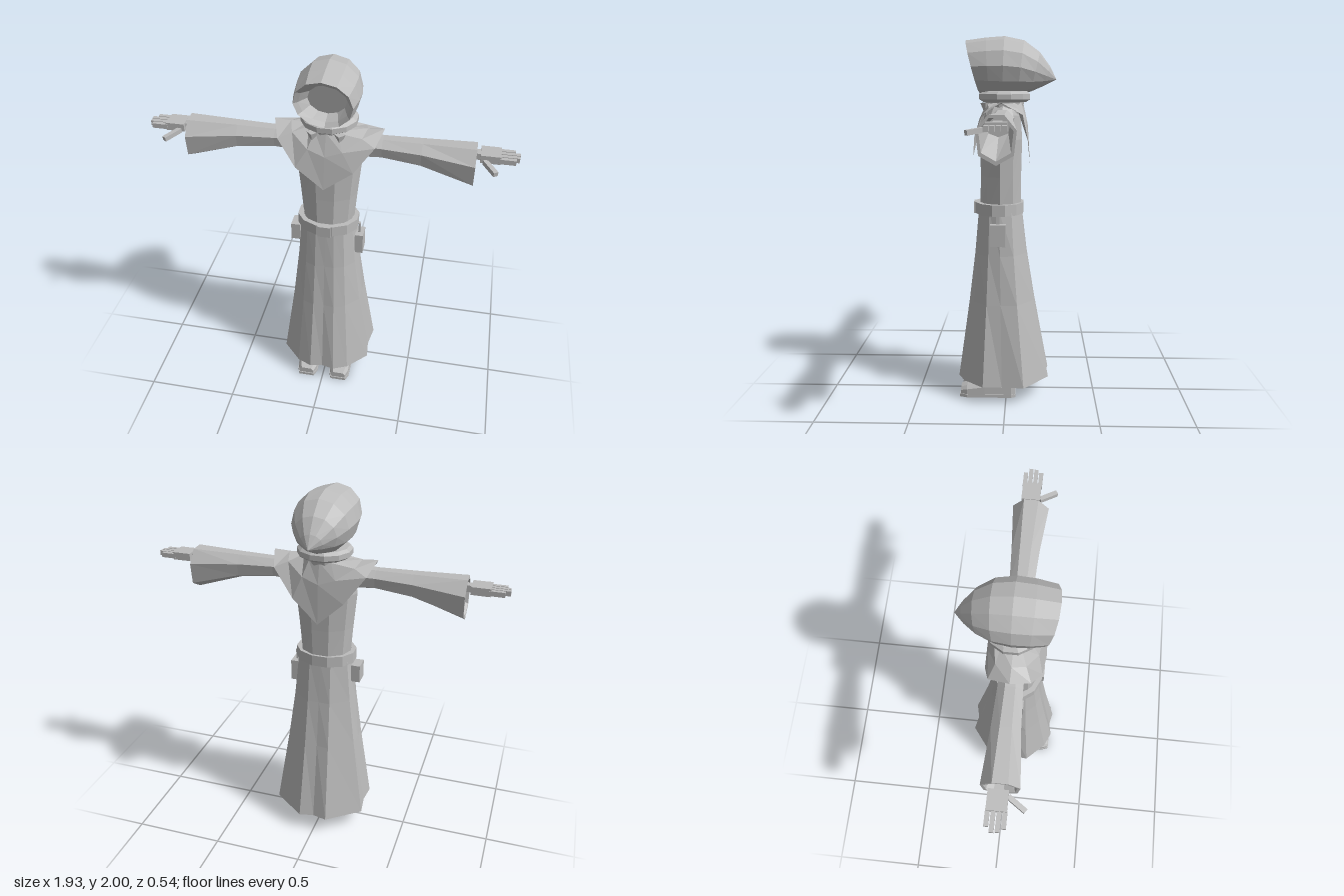
import * as THREE from 'three';

const cloth = new THREE.MeshStandardMaterial({ color: 0xbcbcbc, flatShading: true, side: THREE.DoubleSide });
cloth.name = 'plain grey';

const mix = (a, b, t) => a + (b - a) * t;

// Skin a list of equal-length rings of [x, y, z]; faces are turned outwards.
function loft(rings, capStart = false, capEnd = false) {
  const tris = [];
  const n = rings[0].length;
  for (let i = 0; i + 1 < rings.length; i++) {
    for (let j = 0; j < n; j++) {
      const k = (j + 1) % n;
      const [a, b, c, d] = [rings[i][j], rings[i][k], rings[i + 1][k], rings[i + 1][j]];
      tris.push([a, b, c], [a, c, d]);
    }
  }
  const cap = (ring, flip) => {
    const m = [0, 1, 2].map(q => ring.reduce((s, p) => s + p[q], 0) / n);
    ring.forEach((p, j) => {
      const r = ring[(j + 1) % n];
      tris.push(flip ? [m, r, p] : [m, p, r]);
    });
  };
  if (capStart) cap(rings[0], true);
  if (capEnd) cap(rings[rings.length - 1], false);
  const all = rings.flat();
  const mid = new THREE.Vector3();
  all.forEach(p => mid.add(new THREE.Vector3(...p)));
  mid.divideScalar(all.length);
  let volume = 0;
  for (const t of tris) {
    const [a, b, c] = t.map(p => new THREE.Vector3(...p).sub(mid));
    volume += a.dot(b.cross(c));
  }
  if (volume < 0) tris.forEach(t => t.reverse());
  const geo = new THREE.BufferGeometry();
  geo.setAttribute('position', new THREE.Float32BufferAttribute(tris.flat(2), 3));
  geo.computeVertexNormals();
  return geo;
}

// Horizontal oval ring: half width, front z, back z.
function oval(y, rx, zf, zb, n = 12) {
  return Array.from({ length: n }, (_, i) => {
    const a = ((i + 0.5) / n) * Math.PI * 2;
    return [Math.sin(a) * rx, y, (zf + zb) / 2 + Math.cos(a) * (zf - zb) / 2];
  });
}

// Complete a right half, listed front to back, with its mirror image.
const whole = half => [...half, ...half.slice(1, -1).reverse().map(([x, y, z]) => [-x, y, z])];

export function createModel() {
  const model = new THREE.Group();
  model.name = 'hoodedFigure';
  const add = (name, geo, parent = model) => {
    const mesh = new THREE.Mesh(geo, cloth);
    mesh.name = name;
    parent.add(mesh);
    return mesh;
  };
  const box = (name, x, y, z, w, h, d, parent = model) => {
    const mesh = add(name, new THREE.BoxGeometry(w, h, d), parent);
    mesh.position.set(x, y, z);
    return mesh;
  };

  // Hood: tilted rings as [top y, top z, bottom y, bottom z, half width]
  const hoodRing = ([ty, tz, by, bz, w]) => Array.from({ length: 12 }, (_, i) => {
    const a = (i / 12) * Math.PI * 2;
    const t = (1 - Math.cos(a)) / 2;
    return [Math.sin(a) * w, mix(ty, by, t), mix(tz, bz, t)];
  });
  add('hood', loft([
    [1.90, 0.09, 1.73, 0.06, 0.10],
    [1.945, 0.185, 1.715, 0.125, 0.128],
    [1.978, 0.222, 1.695, 0.148, 0.148],
    [1.993, 0.11, 1.685, 0.09, 0.163],
    [2.0, 0.01, 1.68, 0.02, 0.167],
    [1.978, -0.095, 1.685, -0.06, 0.153],
    [1.915, -0.18, 1.705, -0.13, 0.115],
    [1.84, -0.235, 1.735, -0.2, 0.06],
    [1.77, -0.27, 1.77, -0.27, 0],
  ].map(hoodRing), true));

  // Rolled collar and neck
  add('collar', loft([
    oval(1.65, 0.125, 0.13, -0.11), oval(1.665, 0.148, 0.153, -0.132),
    oval(1.693, 0.148, 0.153, -0.132), oval(1.708, 0.13, 0.13, -0.115),
  ], true, true));
  add('neck', loft([oval(1.55, 0.11, 0.1, -0.08), oval(1.66, 0.115, 0.12, -0.1)]));

  // Pointed shoulder cape
  add('cape', loft([
    whole([[0, 1.645, 0.11], [0.06, 1.645, 0.1], [0.1, 1.645, 0.06], [0.115, 1.645, 0.02],
      [0.1, 1.645, -0.04], [0.06, 1.645, -0.08], [0, 1.645, -0.09]]),
    whole([[0, 1.53, 0.155], [0.09, 1.56, 0.145], [0.18, 1.62, 0.09], [0.2, 1.645, 0.02],
      [0.18, 1.62, -0.06], [0.09, 1.56, -0.105], [0, 1.53, -0.115]]),
    whole([[0, 1.35, 0.185], [0.15, 1.46, 0.17], [0.25, 1.59, 0.12], [0.285, 1.652, 0.02],
      [0.25, 1.59, -0.09], [0.14, 1.44, -0.12], [0, 1.31, -0.128]]),
  ]));
  for (const s of [-1, 1]) {
    const fold = add('collarFold', new THREE.ConeGeometry(0.03, 0.07, 4));
    fold.position.set(s * 0.07, 1.61, 0.11);
    fold.rotation.x = Math.PI;
  }

  // Torso
  add('torso', loft([
    oval(1.07, 0.14, 0.15, -0.085, 10), oval(1.25, 0.155, 0.147, -0.085, 10),
    oval(1.45, 0.175, 0.148, -0.09, 10), oval(1.58, 0.16, 0.125, -0.08, 10),
    oval(1.64, 0.1, 0.09, -0.06, 10),
  ], true, true));

  // Robe skirt, flaring from the waist to a folded hem
  const waist = [[0, 0.155], [0.05, 0.153], [0.1, 0.135], [0.14, 0.09],
    [0.157, 0.035], [0.14, -0.03], [0.06, -0.083], [0, -0.085]];
  const hem = [[0, 0.255], [0.07, 0.27], [0.15, 0.235], [0.255, 0.125],
    [0.245, 0.02], [0.262, -0.1], [0.08, -0.238], [0, -0.22]];
  const skirtRing = (y, t) => whole(waist.map(([x, z], i) => [mix(x, hem[i][0], t), y, mix(z, hem[i][1], t)]));
  add('skirt', loft([skirtRing(1.06, 0), skirtRing(0.82, 0.18), skirtRing(0.55, 0.46), skirtRing(0.1, 1)], true, true));

  // Belt, buckle and hanging pouches
  add('belt', loft([
    oval(1.04, 0.155, 0.16, -0.08), oval(1.04, 0.17, 0.176, -0.097),
    oval(1.102, 0.17, 0.176, -0.097), oval(1.102, 0.14, 0.15, -0.07),
  ]));
  box('buckle', 0, 1.07, 0.172, 0.07, 0.065, 0.02);
  box('leftPouch', 0.177, 0.94, 0.042, 0.045, 0.12, 0.085);
  box('leftPouchStrap', 0.174, 1.025, 0.042, 0.012, 0.07, 0.018);
  box('rightPouch', -0.18, 0.975, 0.042, 0.05, 0.1, 0.085);

  for (const s of [-1, 1]) {
    const side = s > 0 ? 'left' : 'right';
    const arm = new THREE.Group();
    arm.name = side + 'Arm';
    model.add(arm);

    // Bell sleeve with a hollow cuff: [x, top y, bottom y, front z, back z]
    const sleeveRing = ([x, top, bottom, zf, zb]) => [
      [0.3, 1], [0.7, 1], [1, 0.7], [0.93, 0.2], [0.5, 0], [0.07, 0.2], [0, 0.7],
    ].map(([u, v]) => [s * x, mix(bottom, top, v), mix(zb, zf, u)]);
    add('sleeve', loft([
      [0.12, 1.61, 1.48, 0.085, -0.045],
      [0.28, 1.602, 1.495, 0.085, -0.04],
      [0.48, 1.605, 1.47, 0.095, -0.05],
      [0.75, 1.61, 1.38, 0.12, -0.07],
      [0.75, 1.597, 1.4, 0.105, -0.055],
      [0.6, 1.59, 1.5, 0.075, -0.035],
    ].map(sleeveRing), true, true), arm);

    // Hand: wrist, palm, four fingers, thumb
    box('wrist', s * 0.69, 1.56, 0.022, 0.2, 0.035, 0.045, arm);
    box('palm', s * 0.82, 1.562, 0.02, 0.1, 0.042, 0.098, arm);
    [0.94, 0.965, 0.962, 0.945].forEach((tip, i) => {
      const z = -0.02 + i * 0.027;
      box('finger', s * (tip + 0.86) / 2, 1.56, z, tip - 0.86, 0.026, 0.022, arm);
    });
    const thumb = box('thumb', s * 0.822, 1.543, 0.11, 0.105, 0.024, 0.025, arm);
    thumb.rotation.set(0, -s * 0.98, -s * 0.12);

    // Boot: ankle, upper and sole, lofted from heel to toe as [z, height, half width]
    const boot = new THREE.Group();
    boot.name = side + 'Boot';
    boot.position.x = s * 0.098;
    model.add(boot);
    add('ankle', loft([oval(0.07, 0.045, 0.06, -0.04, 8), oval(0.3, 0.04, 0.055, -0.035, 8)]), boot);
    add('upper', loft([
      [-0.05, 0.075, 0.045], [-0.03, 0.088, 0.056], [0.12, 0.086, 0.058],
      [0.22, 0.066, 0.056], [0.255, 0.052, 0.042],
    ].map(([z, h, w]) => [
      [-w, 0.015, z], [-w, h * 0.7, z], [-w * 0.7, h, z], [w * 0.7, h, z], [w, h * 0.7, z], [w, 0.015, z],
    ]), true, true), boot);
    add('sole', loft([[-0.053, 0.047], [-0.03, 0.06], [0.22, 0.06], [0.26, 0.045]].map(([z, w]) => [
      [-w, 0, z], [-w, 0.017, z], [w, 0.017, z], [w, 0, z],
    ]), true, true), boot);
  }
  return model;
}
